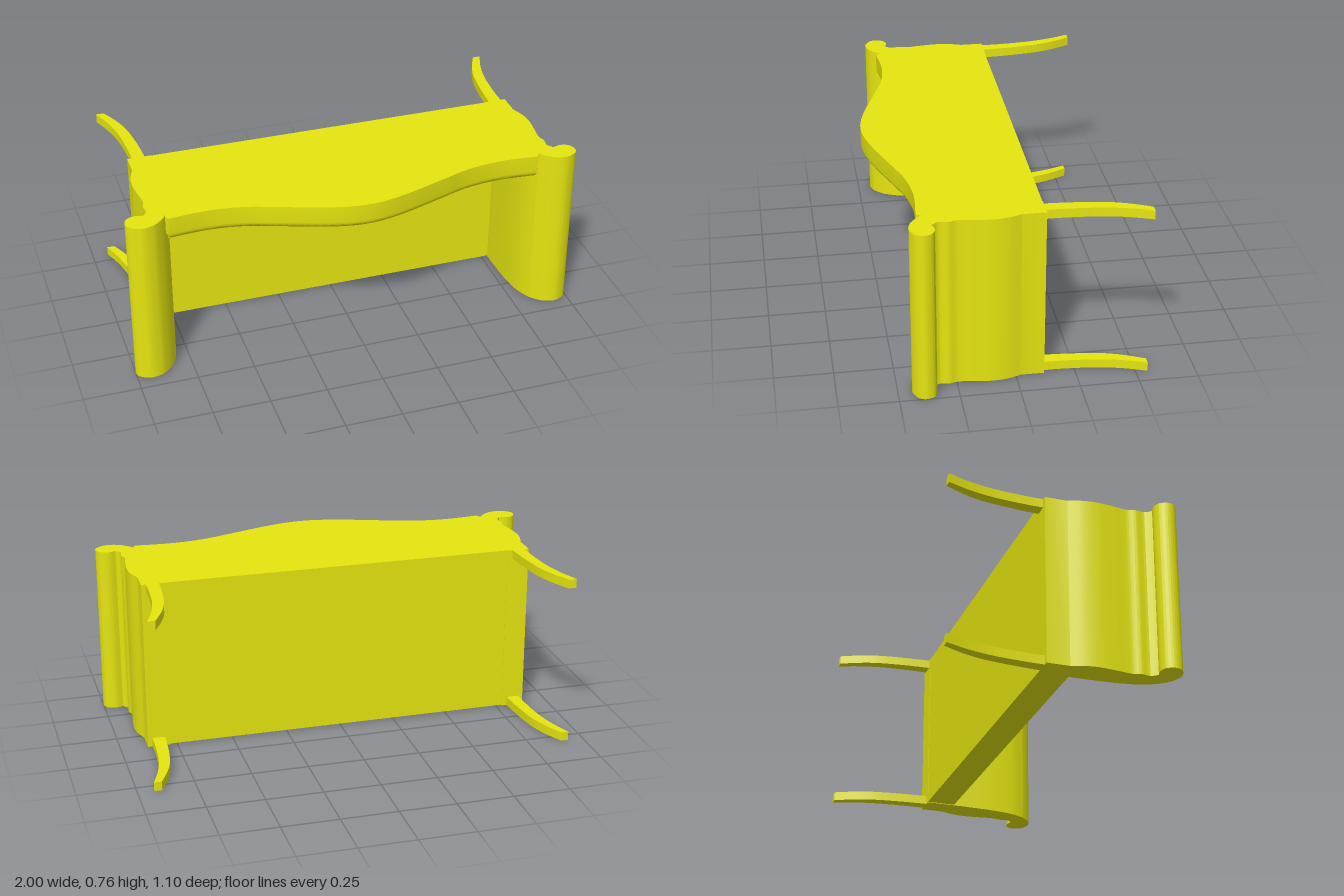
import * as THREE from 'three';
import { toCreasedNormals } from 'three/addons/utils/BufferGeometryUtils.js';

const HEIGHT = 0.76;
const material = new THREE.MeshStandardMaterial({ color: 0xe5e510 });

// Outline from [x, z] runs: a run of two points is straight, a longer one is a smooth curve.
function outline(runs, side = 1) {
  const shape = new THREE.Shape();
  const toV = ([x, z]) => new THREE.Vector2(x * side, -z);
  const start = toV(runs[0][0]);
  shape.moveTo(start.x, start.y);
  for (const run of runs) {
    const pts = run.map(toV);
    if (pts.length === 2) shape.lineTo(pts[1].x, pts[1].y);
    else shape.splineThru(pts.slice(1));
  }
  return shape;
}

// Extrudes an [x, z] outline upward from y0.
function upright(name, shape, y0, depth, bevel = 0) {
  const geo = new THREE.ExtrudeGeometry(shape, {
    depth, curveSegments: 32, bevelEnabled: bevel > 0, bevelThickness: bevel,
    bevelSize: bevel, bevelOffset: -bevel, bevelSegments: 6,
  });
  geo.rotateX(-Math.PI / 2).translate(0, y0, 0);
  // keep the top flat: only the lower rim stays rounded
  const p = geo.attributes.position;
  for (let i = 0; i < p.count; i++) p.setY(i, Math.min(p.getY(i), HEIGHT));
  const mesh = new THREE.Mesh(toCreasedNormals(geo, 0.6), material);
  mesh.name = name;
  return mesh;
}

export function createModel() {
  const group = new THREE.Group();
  group.name = 'sofa';

  // Seat slab between the arms
  const seat = new THREE.Mesh(new THREE.BoxGeometry(1.6, HEIGHT - 0.003, 0.13), material);
  seat.name = 'seat';
  seat.position.set(0, (HEIGHT + 0.003) / 2, -0.053);
  group.add(seat);

  // Backrest with serpentine crest, rounded on its lower rim
  const half = [[0.1, 0.535], [0.22, 0.502], [0.37, 0.45], [0.5, 0.408], [0.65, 0.389], [0.82, 0.4]];
  const crest = [...half.map(([x, z]) => [-x, z]).reverse(), [0, 0.546], ...half];
  const back = outline([
    [[-0.8, -0.08], [-0.8, 0.25]], [[-0.8, 0.25], [-0.83, 0.38]], [[-0.83, 0.38], crest[0]],
    crest,
    [[0.82, 0.4], [0.83, 0.38]], [[0.83, 0.38], [0.8, 0.25]], [[0.8, 0.25], [0.8, -0.08]],
  ]);
  group.add(upright('backrest', back, 0.65 + 0.035, HEIGHT - 0.685, 0.035));

  // Scrolled arm and curved leg profiles
  const arm = [
    [[0.78, -0.12], [0.88, -0.12]],
    [[0.88, -0.12], [0.88, -0.02]],
    [[0.88, -0.02], [0.9, 0.04], [0.906, 0.1], [0.9, 0.17], [0.891, 0.24], [0.9, 0.28], [0.896, 0.32], [0.915, 0.348]],
    [[0.915, 0.348], [0.95, 0.339], [0.985, 0.352], [1, 0.388], [0.985, 0.42], [0.94, 0.441], [0.89, 0.431], [0.855, 0.405], [0.833, 0.38]],
    [[0.833, 0.38], [0.803, 0.31], [0.786, 0.2], [0.78, 0.05]],
    [[0.78, 0.05], [0.78, -0.12]],
  ];
  const leg = [
    [[0.803, -0.118], [0.86, -0.118]],
    [[0.86, -0.118], [0.861, -0.2], [0.872, -0.34], [0.895, -0.45], [0.93, -0.55]],
    [[0.93, -0.55], [0.896, -0.55]],
    [[0.896, -0.55], [0.855, -0.46], [0.828, -0.37], [0.811, -0.24], [0.803, -0.118]],
  ];
  for (const [side, label] of [[1, 'left'], [-1, 'right']]) {
    group.add(upright(label + 'Arm', outline(arm, side), 0, HEIGHT));
    group.add(upright(label + 'FrontLeg', outline(leg, side), 0, 0.04));
    group.add(upright(label + 'BackLeg', outline(leg, side), HEIGHT - 0.04, 0.04));
  }
  return group;
}
